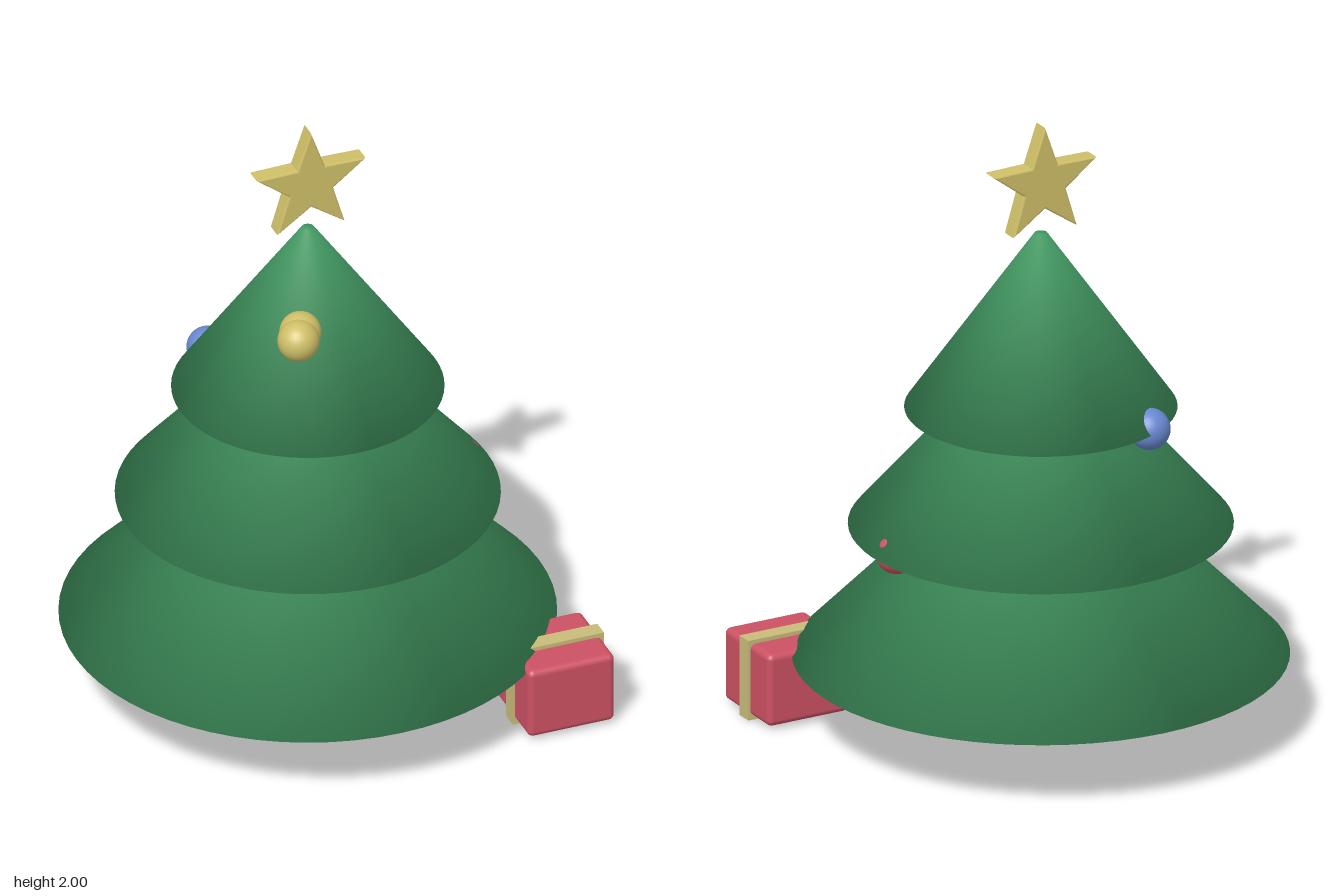
import * as THREE from 'three';
import { RoundedBoxGeometry } from 'three/addons/geometries/RoundedBoxGeometry.js';

const material = (name, color) => {
  const m = new THREE.MeshStandardMaterial({ color });
  m.name = name;
  return m;
};

// Closed frustum whose rim normals blend softly into its caps
function softFrustum(bottomRadius, topRadius, y0, y1) {
  const profile = [[0, y0], [bottomRadius, y0], [topRadius, y1], [0, y1]];
  const segments = 64;
  const geo = new THREE.LatheGeometry(profile.map(([r, y]) => new THREE.Vector2(r, y)), segments);
  const side = new THREE.Vector2(y1 - y0, bottomRadius - topRadius).normalize();
  const normals = [
    new THREE.Vector2(0, -1),
    new THREE.Vector2(side.x, side.y - 1).normalize(),
    new THREE.Vector2(side.x, side.y + 1).normalize(),
    new THREE.Vector2(0, 1),
  ];
  for (let i = 0; i <= segments; i++) {
    const a = (i / segments) * Math.PI * 2;
    normals.forEach((n, j) =>
      geo.attributes.normal.setXYZ(i * 4 + j, n.x * Math.sin(a), n.y, n.x * Math.cos(a)));
  }
  return geo;
}

function starGeometry(outer, inner, thickness) {
  const bevel = 0.006;
  const shape = new THREE.Shape();
  for (let i = 0; i < 10; i++) {
    const r = i % 2 ? inner : outer;
    const a = Math.PI / 2 + (i * Math.PI) / 5;
    if (i) shape.lineTo(r * Math.cos(a), r * Math.sin(a));
    else shape.moveTo(r * Math.cos(a), r * Math.sin(a));
  }
  shape.closePath();
  const geo = new THREE.ExtrudeGeometry(shape, {
    depth: thickness - 2 * bevel, bevelEnabled: true, bevelSize: bevel,
    bevelThickness: bevel, bevelOffset: -bevel, bevelSegments: 2,
  });
  return geo.translate(0, 0, bevel - thickness / 2);
}

export function createModel() {
  const model = new THREE.Group();
  model.name = 'decoratedTree';

  const green = material('needle green', 0x429862);
  const brown = material('bark brown', 0x80654a);
  const gold = material('gold', 0xcfbf68);
  const red = material('red', 0xcc5163);
  const blue = material('blue', 0x6888cf);
  const ribbonColor = material('ribbon beige', 0xc9bb7a);

  const add = (parent, name, geometry, mat, x = 0, y = 0, z = 0) => {
    const mesh = new THREE.Mesh(geometry, mat);
    mesh.name = name;
    mesh.position.set(x, y, z);
    parent.add(mesh);
    return mesh;
  };

  const tree = new THREE.Group();
  tree.name = 'tree';
  tree.position.x = -0.005;
  model.add(tree);

  // Trunk and three overlapping tiers
  add(tree, 'trunk', softFrustum(0.115, 0.115, 0.06, 0.42), brown);
  [
    ['lowerTier', 0.775, 0.235, 1.01],
    ['middleTier', 0.6, 0.67, 1.34],
    ['upperTier', 0.425, 1.06, 1.64],
  ].forEach(([name, radius, y0, y1]) => add(tree, name, softFrustum(radius, 0.02, y0, y1), green));

  // Star on top
  add(tree, 'star', starGeometry(0.192, 0.078, 0.06), gold, 0, 1.808, 0);

  // Baubles in pairs, each pair lined up along one direction from the trunk
  const ball = new THREE.SphereGeometry(0.066, 32, 20);
  [
    ['gold', gold, 1.38, [-0.12, 0.22], [0.25, 0.2]],
    ['red', red, 0.67, [1, -0.005], [0.515, 0.42]],
    ['blue', blue, 1.058, [-0.215, -0.345], [0.385, 0.3]],
  ].forEach(([name, mat, y, [dx, dz], radii]) => {
    const pair = new THREE.Group();
    pair.name = name + 'Baubles';
    const length = Math.hypot(dx, dz);
    radii.forEach((r, i) =>
      add(pair, name + (i ? 'InnerBauble' : 'OuterBauble'), ball, mat, (dx / length) * r, y, (dz / length) * r));
    tree.add(pair);
  });

  // Gift with one band of ribbon
  const gift = new THREE.Group();
  gift.name = 'gift';
  gift.position.set(0.627, 0.133, 0.486);
  add(gift, 'giftBox', new RoundedBoxGeometry(0.29, 0.24, 0.288, 4, 0.02), red);
  add(gift, 'giftRibbon', new THREE.BoxGeometry(0.306, 0.266, 0.056), ribbonColor);
  model.add(gift);

  return model;
}
